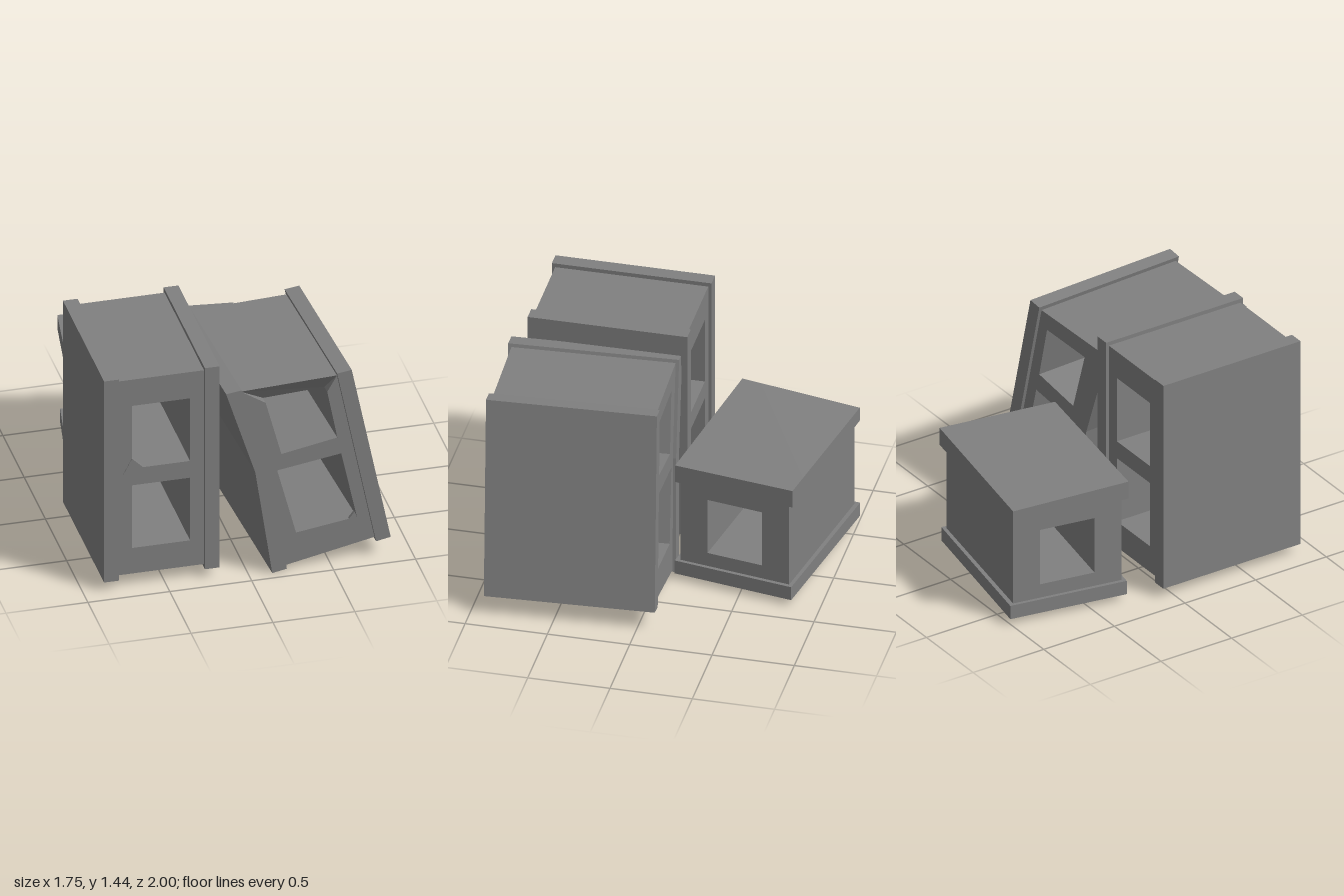
import * as THREE from 'three';

const concrete = new THREE.MeshStandardMaterial({ color: 0x808080 });
concrete.name = 'concrete';

const V = (pts) => pts.map(([x, y]) => new THREE.Vector2(x, y));

// Outline with optional holes, swept from back (t = 0) to front (t = 1) and placed by a rule
function prism(name, outline, holes, place) {
  const shape = new THREE.Shape(V(outline));
  holes.forEach((h) => shape.holes.push(new THREE.Path(V(h))));
  const geo = new THREE.ExtrudeGeometry(shape, { depth: 1, bevelEnabled: false });
  const p = geo.attributes.position;
  for (let i = 0; i < p.count; i++) p.setXYZ(i, ...place(p.getX(i), p.getY(i), p.getZ(i)));
  geo.computeVertexNormals();
  const mesh = new THREE.Mesh(geo, concrete);
  mesh.name = name;
  return mesh;
}

const rect = (x0, x1, y0, y1) => [[x0, y0], [x1, y0], [x1, y1], [x0, y1]];
const between = (z0, z1) => (x, y, t) => [x, y, z0 + (z1 - z0) * t];

function group(name, ...parts) {
  const g = new THREE.Group();
  g.name = name;
  g.add(...parts);
  return g;
}

// Upright block: two side plates and a core with two cells
function uprightBlock() {
  return group('uprightBlock',
    prism('rightPlate', rect(-0.875, -0.785, 0.06, 1.44), [], between(-0.07, 0.9)),
    prism('leftPlate', rect(-0.26, -0.17, 0.06, 1.44), [], between(-0.07, 0.9)),
    prism('core', rect(-0.785, -0.26, 0.085, 1.415),
      [rect(-0.7, -0.345, 0.805, 1.235), rect(-0.7, -0.345, 0.26, 0.69)], between(-0.05, 0.88)),
    prism('chippedCorner', [[-0.755, 0.77], [-0.63, 0.805], [-0.7, 0.875]], [], between(0.86, 0.884)));
}

// Leaning block: bent right plate, skewed core, top beam sloping inwards
function leaningBlock() {
  const skew = (inset, push = 0) => (x, y, t) => {
    const front = 0.95 - 0.042 * x + 0.03 * y;
    const sunk = t > 0.5 && y < 1.25 ? push : 0;
    return [x - 0.055 * (1 - t), y, front - 1.025 * (1 - t) + (t > 0.5 ? -inset : inset) - sunk];
  };
  const topA = [-0.06, 1.29], topB = [0.535, 1.3], cellA = [0.095, 1.185], cellB = [0.475, 1.195];
  return group('leaningBlock',
    prism('bentPlate', [[-0.155, 1.3], [0.03, 0.72], [0.14, 0], [0.23, 0.015], [0.12, 0.735], [-0.06, 1.31]],
      [], skew(0)),
    prism('straightPlate', [[0.53, 1.325], [0.78, 0.11], [0.87, 0.125], [0.62, 1.335]], [], skew(0)),
    prism('core',
      [topA, [0.12, 0.73], [0.23, 0.03], [0.775, 0.13], topB, cellB, [0.54, 0.865], [0.195, 0.81], cellA],
      [[[0.17, 0.7], [0.29, 0.245], [0.665, 0.29], [0.565, 0.75]]], skew(0.02)),
    prism('topBeam', [topA, cellA, cellB, topB], [], skew(0.02, 0.06)),
    prism('chippedCorner', [[0.615, 0.285], [0.67, 0.275], [0.65, 0.33]], [], (x, y, t) =>
      [x, y, 0.95 - 0.042 * x + 0.03 * y - 0.037 + 0.02 * t]));
}

// Half block lying behind: base slab, one cell running end to end, top slab with a worn corner
function halfBlock() {
  const slab = (name, w, y0, y1, angle, worn) => {
    const geo = new THREE.BoxGeometry(w, y1 - y0, 0.75);
    const p = geo.attributes.position;
    for (let i = 0; i < p.count; i++) {
      if (p.getX(i) < 0 && p.getZ(i) < 0 && p.getY(i) > 0) p.setY(i, p.getY(i) - worn);
    }
    geo.computeVertexNormals();
    const m = new THREE.Mesh(geo, concrete);
    m.name = name;
    m.position.y = (y0 + y1) / 2;
    m.rotation.y = angle;
    return m;
  };
  const core = prism('core', rect(-0.35, 0.35, 0.12, 0.695), [rect(-0.175, 0.175, 0.22, 0.59)],
    between(-0.49, 0.49));
  core.rotation.y = Math.PI / 2 - 0.17;
  const g = group('halfBlock', slab('baseSlab', 1.025, 0.04, 0.13, -0.174, 0), core,
    slab('topSlab', 1.046, 0.69, 0.805, -0.155, 0.025));
  g.position.set(-0.21, 0, -0.547);
  return g;
}

export function createModel() {
  return group('concreteBlocks', uprightBlock(), leaningBlock(), halfBlock());
}
